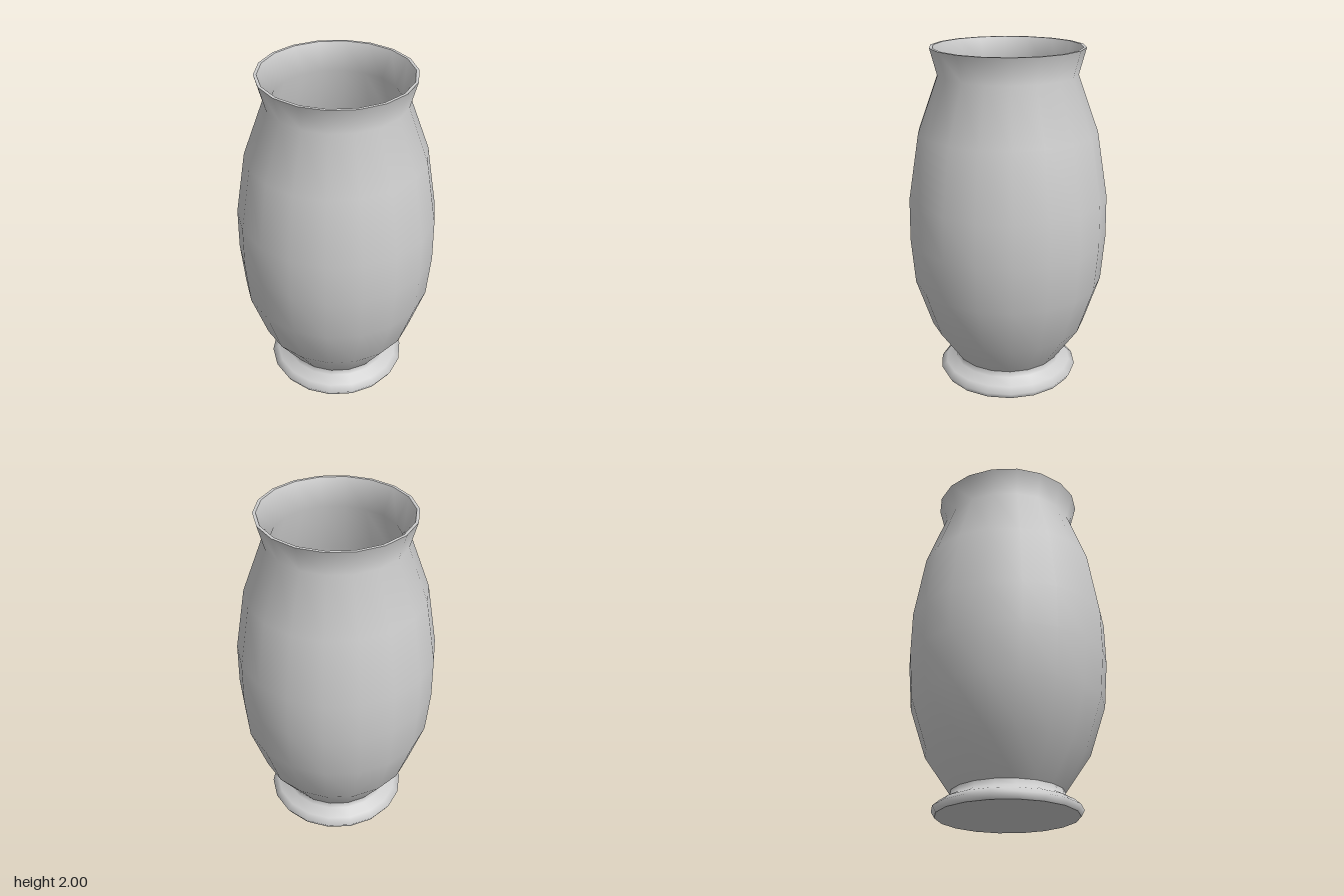
import * as THREE from 'three';

const SIDES = 18;

// Turns a list of [radius, height] points around the y axis, seam at the back
function turned(name, profile, material) {
  const points = profile.map(([r, y]) => new THREE.Vector2(r, y));
  const mesh = new THREE.Mesh(new THREE.LatheGeometry(points, SIDES, Math.PI), material);
  mesh.name = name;
  return mesh;
}

export function createModel() {
  const vase = new THREE.Group();
  vase.name = 'vase';
  const clay = new THREE.MeshStandardMaterial({ color: 0xcccccc });
  clay.name = 'greyClay';

  // Flat underside
  vase.add(turned('underside', [[0, 0.01], [0.2, 0.005], [0.4, 0]], clay));

  // Flared foot with a narrow collar
  vase.add(turned('foot', [[0.4, 0], [0.42, 0.035], [0.385, 0.065], [0.325, 0.095], [0.32, 0.13]], clay));

  // Swelling body, pinched neck and flared lip
  vase.add(turned('body', [
    [0.32, 0.13], [0.465, 0.34], [0.56, 0.63], [0.582, 0.9], [0.578, 1.15],
    [0.515, 1.53], [0.397, 1.85], [0.437, 2],
  ], clay));

  // Thin rim
  vase.add(turned('rim', [[0.437, 2], [0.42, 2]], clay));

  // Hollow interior with a rounded floor
  vase.add(turned('interior', [
    [0.42, 2], [0.355, 1.85], [0.475, 1.52], [0.535, 1.15], [0.54, 0.9],
    [0.52, 0.64], [0.425, 0.36], [0.3, 0.2], [0.15, 0.15], [0, 0.14],
  ], clay));

  return vase;
}
